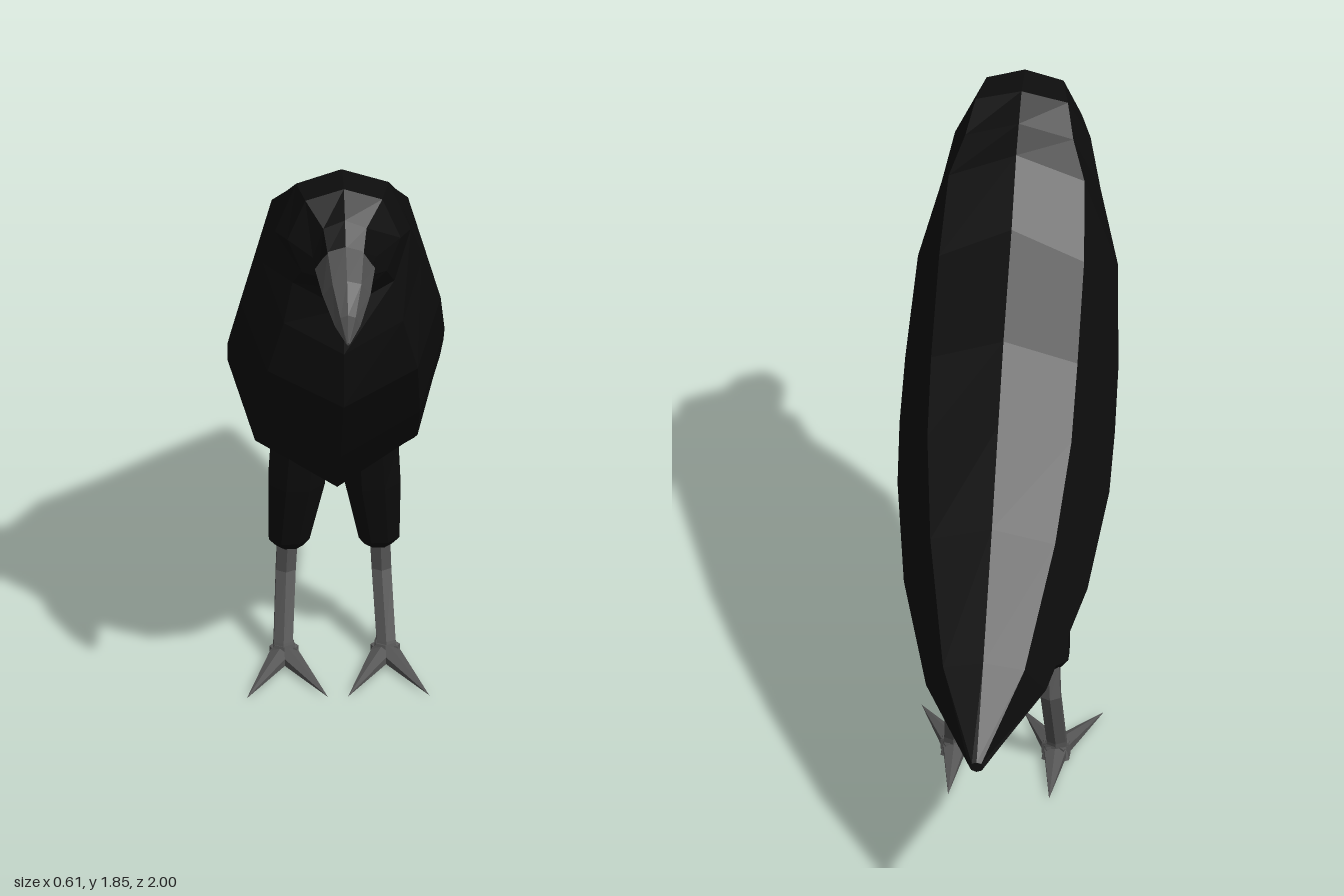
import * as THREE from 'three';

// Skin a list of closed rings (equal point counts) and cap both ends
function loft(rings) {
  const n = rings[0].length, pos = [], idx = [];
  rings.forEach(r => r.forEach(p => pos.push(...p)));
  for (let i = 0; i < rings.length - 1; i++) {
    for (let j = 0; j < n; j++) {
      const a = i * n + j, b = i * n + (j + 1) % n;
      idx.push(a, a + n, b, b, a + n, b + n);
    }
  }
  const e = (rings.length - 1) * n;
  for (let j = 1; j < n - 1; j++) idx.push(0, j, j + 1, e, e + j + 1, e + j);
  const g = new THREE.BufferGeometry();
  g.setAttribute('position', new THREE.Float32BufferAttribute(pos, 3));
  g.setIndex(idx);
  g.computeVertexNormals();
  return g;
}

// Mirrored ring from top, widest and bottom points: [topZ, topY, midZ, midY, botZ, botY, halfWidth]
function section([tz, ty, mz, my, bz, by, w], upper, lower) {
  const mix = (a, b, t) => a + (b - a) * t;
  const side = [
    [upper * w, mix(ty, my, 0.22), mix(tz, mz, 0.22)],
    [w, my, mz],
    [lower * w, mix(my, by, 0.65), mix(mz, bz, 0.65)],
  ];
  const other = side.map(([x, y, z]) => [-x, y, z]).reverse();
  return [[0, ty, tz], ...side, [0, by, bz], ...other];
}

// Horizontal ring for limbs: [x, y, z, radiusX, radiusZ]
function limbRing([x, y, z, rx, rz], sides) {
  return Array.from({ length: sides }, (_, i) => {
    const a = ((i + 0.5) / sides) * Math.PI * 2;
    return [x + rx * Math.cos(a), y, z + rz * Math.sin(a)];
  });
}

export function createModel() {
  const feathers = new THREE.MeshStandardMaterial({ color: 0x0d0d0d });
  const horn = new THREE.MeshStandardMaterial({ color: 0x555555 });
  feathers.flatShading = horn.flatShading = true;

  const model = new THREE.Group();
  const add = (parent, name, geometry, material) => {
    const m = new THREE.Mesh(geometry, material);
    m.name = name;
    parent.add(m);
    return m;
  };

  // Body, from tail tip to face
  const bodySections = [
    [-1.0, 0.58, -1.0, 0.565, -1.0, 0.55, 0.02],
    [-0.77, 0.77, -0.67, 0.63, -0.61, 0.51, 0.17],
    [-0.47, 1.03, -0.34, 0.77, -0.16, 0.525, 0.26],
    [-0.25, 1.24, -0.07, 0.93, 0.05, 0.595, 0.3],
    [-0.07, 1.41, 0.06, 1.05, 0.19, 0.655, 0.305],
    [0.21, 1.61, 0.22, 1.17, 0.455, 0.89, 0.302],
    [0.37, 1.76, 0.43, 1.38, 0.67, 1.16, 0.283],
    [0.46, 1.81, 0.54, 1.56, 0.7, 1.345, 0.225],
    [0.555, 1.86, 0.6, 1.69, 0.68, 1.48, 0.192],
    [0.675, 1.86, 0.69, 1.71, 0.72, 1.565, 0.16],
    [0.76, 1.805, 0.745, 1.68, 0.76, 1.59, 0.09],
    [0.82, 1.745, 0.775, 1.66, 0.77, 1.595, 0.075],
  ];
  add(model, 'body', loft(bodySections.map(s => section(s, 0.68, 0.75))), feathers);

  // Hooked beak
  const beakSections = [
    [0.82, 1.752, 0.757, 1.65, 0.77, 1.588, 0.085],
    [0.92, 1.695, 0.87, 1.625, 0.87, 1.58, 0.068],
    [0.985, 1.62, 0.955, 1.57, 0.945, 1.555, 0.036],
    [1.0, 1.54, 0.998, 1.535, 0.996, 1.53, 0.005],
  ];
  add(model, 'beak', loft(beakSections.map(s => section(s, 0.6, 0.65))), horn);

  // Legs, mirrored left and right
  for (const s of [1, -1]) {
    const leg = new THREE.Group();
    leg.name = s > 0 ? 'leftLeg' : 'rightLeg';
    model.add(leg);

    const thigh = [
      [s * 0.125, 0.35, -0.058, 0.042, 0.045],
      [s * 0.127, 0.375, -0.055, 0.062, 0.064],
      [s * 0.107, 0.58, -0.01, 0.085, 0.092],
      [s * 0.1, 0.72, 0.02, 0.085, 0.1],
    ];
    add(leg, 'thigh', loft(thigh.map(r => limbRing(r, 8))), feathers);

    const shin = [
      [s * 0.146, 0.03, 0.005, 0.034, 0.034],
      [s * 0.145, 0.07, -0.005, 0.031, 0.031],
      [s * 0.135, 0.26, -0.08, 0.032, 0.034],
      [s * 0.13, 0.38, -0.07, 0.033, 0.036],
    ];
    add(leg, 'shin', loft(shin.map(r => limbRing(r, 6))), horn);

    // Two splayed front toes and one rear toe, as [tipX, tipZ]
    const foot = new THREE.Group();
    foot.name = 'foot';
    foot.position.set(s * 0.143, 0, 0);
    leg.add(foot);
    for (const [tx, tz] of [[-0.115, 0.245], [0.115, 0.245], [0, -0.24]]) {
      const length = Math.hypot(tx, tz) + 0.02;
      const toe = new THREE.ConeGeometry(0.042, length, 6);
      toe.rotateX(Math.PI / 2);
      toe.scale(1, 0.68, 1);
      toe.translate(0, 0, length / 2 - 0.02);
      // Slope the toe down to the ground at its tip
      const p = toe.attributes.position;
      for (let i = 0; i < p.count; i++) {
        p.setY(i, p.getY(i) + 0.036 - 0.024 * Math.max(0, p.getZ(i) / length));
      }
      toe.computeVertexNormals();
      add(foot, 'toe', toe, horn).rotation.y = Math.atan2(tx, tz);
    }
    const ankle = new THREE.CylinderGeometry(0.032, 0.045, 0.05, 6);
    add(foot, 'ankle', ankle, horn).position.y = 0.037;
  }
  return model;
}
